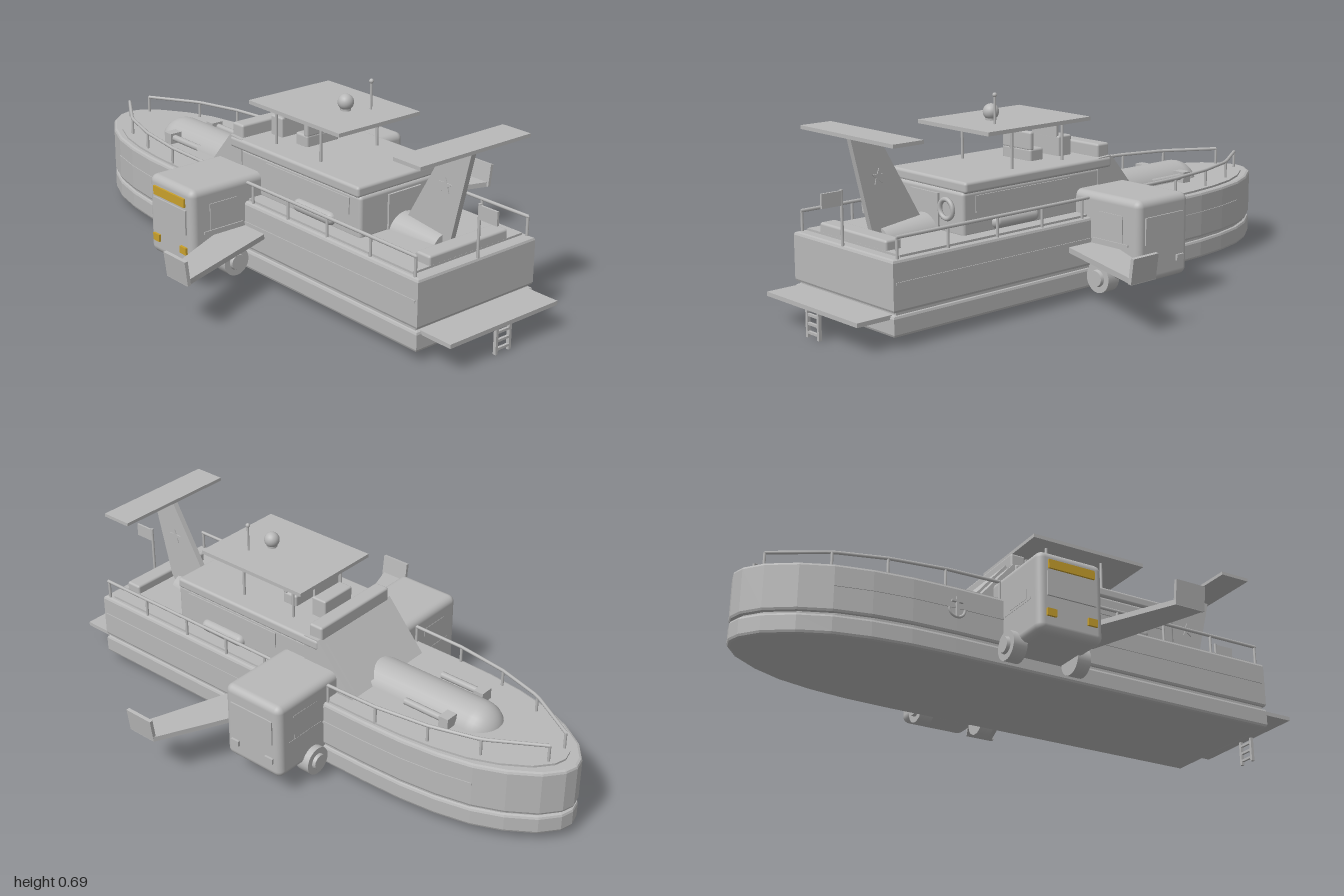
import * as THREE from 'three';
import { RoundedBoxGeometry } from 'three/addons/geometries/RoundedBoxGeometry.js';

const grey = new THREE.MeshStandardMaterial({ color: 0xb8b8b8 });
grey.name = 'grey';
const yellow = new THREE.MeshStandardMaterial({ color: 0xc8a02c });
yellow.name = 'yellow';

// Starboard half of the hull outline as [x, z], stern to bow
const HALF = [[0.255, 0.88], [0.255, -0.35], [0.25, -0.5], [0.235, -0.63], [0.208, -0.75],
  [0.165, -0.85], [0.105, -0.94], [0.045, -0.988]];
const mirrored = (half) => [...half, ...half.map(([x, z]) => [-x, z]).reverse()];

// Horizontal slab from [x, z] points
function slab(points, y0, y1, bevel = 0) {
  const shape = new THREE.Shape(points.map(([x, z]) => new THREE.Vector2(x, -z)));
  const geo = new THREE.ExtrudeGeometry(shape, {
    depth: y1 - y0 - 2 * bevel, bevelEnabled: bevel > 0, bevelSize: bevel,
    bevelThickness: bevel, bevelOffset: -bevel, bevelSegments: 2 });
  return geo.rotateX(-Math.PI / 2).translate(0, y0 + bevel, 0);
}

// Upright slab across x from [z, y] points
function profile(points, x0, x1) {
  const shape = new THREE.Shape(points.map(([z, y]) => new THREE.Vector2(-z, y)));
  return new THREE.ExtrudeGeometry(shape, { depth: x1 - x0, bevelEnabled: false })
    .rotateY(Math.PI / 2).translate(x0, 0, 0);
}

// Box given by its limits
function box(x0, x1, y0, y1, z0, z1, round = 0) {
  const s = [x1 - x0, y1 - y0, z1 - z0];
  const geo = round ? new RoundedBoxGeometry(...s, 3, round) : new THREE.BoxGeometry(...s);
  return geo.translate((x0 + x1) / 2, (y0 + y1) / 2, (z0 + z1) / 2);
}

const post = (x, y0, y1, z, r = 0.005) =>
  new THREE.CylinderGeometry(r, r, y1 - y0, 8).translate(x, (y0 + y1) / 2, z);

function rod(points, r) {
  const path = new THREE.CurvePath();
  const v = points.map((p) => new THREE.Vector3(...p));
  for (let i = 1; i < v.length; i++) path.add(new THREE.LineCurve3(v[i - 1], v[i]));
  return new THREE.TubeGeometry(path, (v.length - 1) * 6, r, 8);
}

export function createModel() {
  const model = new THREE.Group();
  const add = (name, geo, mat = grey) => {
    const mesh = new THREE.Mesh(geo, mat);
    mesh.name = name;
    model.add(mesh);
    return mesh;
  };
  const outline = mirrored([...HALF, [0, -1]].slice(0, -1));
  outline.splice(HALF.length, 0, [0, -1]);
  const scaled = (sx, sz) => outline.map(([x, z]) => [x * sx, z * sz]);

  // Hull in two tiers, with a groove between and a deck on top
  add('lowerHull', slab(outline, 0.033, 0.102, 0.01));
  add('hullGroove', slab(scaled(0.97, 0.985), 0.095, 0.115));
  add('upperHull', slab(outline, 0.108, 0.272, 0.01));
  add('deck', slab(scaled(0.93, 0.955), 0.265, 0.279));
  const stripe = HALF.slice(0, 5).map(([x, z]) => [x + 0.003, Math.min(z, 0.87)]);
  add('hullStripe', slab(mirrored(stripe), 0.195, 0.203));

  // Swim platform and ladder
  add('swimPlatform', box(-0.235, 0.235, 0.088, 0.102, 0.86, 1));
  for (const x of [-0.029, 0.029]) add('ladderSide', box(x - 0.005, x + 0.005, 0, 0.095, 0.985, 0.996));
  for (const y of [0.012, 0.04, 0.068]) add('ladderRung', box(-0.029, 0.029, y, y + 0.008, 0.986, 0.995));

  // Cabin with raked front, roof, aft door and lifebuoy
  add('cabin', box(-0.185, 0.185, 0.27, 0.415, -0.08, 0.55, 0.012));
  add('cabinRoof', box(-0.192, 0.192, 0.41, 0.447, -0.1, 0.545, 0.01));
  add('rakedFront', profile([[-0.255, 0.27], [-0.1, 0.45], [-0.04, 0.447], [-0.04, 0.27]], -0.188, 0.188));
  add('windscreen', profile([[-0.238, 0.297], [-0.118, 0.437], [-0.124, 0.443], [-0.244, 0.303]], -0.17, 0.17));
  add('aftDoor', box(-0.07, 0.07, 0.28, 0.398, 0.545, 0.557));
  add('lifebuoy', new THREE.TorusGeometry(0.031, 0.008, 8, 24).translate(0.115, 0.355, 0.56));

  // Flybridge: coaming, console, seat and canopy
  add('coaming', box(-0.175, 0.175, 0.44, 0.492, -0.105, -0.05, 0.008));
  add('console', box(-0.07, 0.07, 0.44, 0.515, -0.03, 0.03, 0.006));
  add('consoleScreen', box(-0.06, 0.06, 0.51, 0.553, 0.022, 0.031));
  add('helmSeat', box(-0.07, 0.07, 0.44, 0.487, 0.1, 0.16, 0.008));
  add('helmSeatBack', box(-0.07, 0.07, 0.48, 0.545, 0.14, 0.16, 0.008));
  add('canopy', box(-0.175, 0.175, 0.577, 0.59, -0.015, 0.435));
  for (const x of [-0.123, 0.123]) for (const z of [0.065, 0.29]) add('canopyPost', post(x, 0.44, 0.58, z));
  add('radarBase', post(0, 0.588, 0.612, 0.27, 0.018));
  add('radarDome', new THREE.SphereGeometry(0.027, 20, 14).translate(0, 0.618, 0.27));
  add('antenna', post(0.07, 0.588, 0.685, 0.315, 0.004));
  add('antennaTip', new THREE.SphereGeometry(0.008, 10, 8).translate(0.07, 0.685, 0.315));

  // Crosswise van body passing through the hull
  add('vanBody', box(-0.472, 0.47, 0.08, 0.357, -0.18, 0.06, 0.025));
  add('vanWindscreen', box(-0.478, -0.468, 0.2, 0.285, -0.15, 0.03));
  add('vanRoofSign', box(-0.479, -0.468, 0.295, 0.325, -0.145, 0.025), yellow);
  add('vanRearWindow', box(0.466, 0.475, 0.21, 0.3, -0.15, 0.03));
  for (const z of [-0.135, 0.015]) {
    add('headlight', box(-0.48, -0.468, 0.13, 0.155, z - 0.017, z + 0.017), yellow);
    add('taillight', box(0.466, 0.478, 0.135, 0.155, z - 0.017, z + 0.017));
  }
  for (const side of [-1, 1]) {
    for (const [z, out] of [[0.058, 1], [-0.178, -1]]) {
      const wx = side * 0.31;
      const win = side * 0.345;
      add('vanWindow', box(win - 0.055, win + 0.055, 0.21, 0.3, z - 0.003, z + 0.005));
      add('vanTrim', box(win - 0.08, win + 0.08, 0.2, 0.208, z - 0.003, z + 0.006));
      add('wheel', new THREE.CylinderGeometry(0.05, 0.05, 0.05, 24).rotateX(Math.PI / 2).translate(wx, 0.08, z));
      add('wheelHub', new THREE.CylinderGeometry(0.026, 0.03, 0.014, 20).rotateX(out * Math.PI / 2)
        .translate(wx, 0.08, z + out * 0.029));
    }
  }

  // Aircraft fuselage: round nose forward, tail cone aft
  add('fuselageNose', new THREE.CapsuleGeometry(0.087, 0.42, 10, 28).rotateX(Math.PI / 2).translate(0, 0.251, -0.41));
  add('tailCone', new THREE.CylinderGeometry(0.05, 0.078, 0.23, 24).rotateX(Math.PI / 2).translate(0, 0.255, 0.62));

  // Tail fin with star plates and tailplane
  add('tailFin', profile([[0.59, 0.27], [0.58, 0.32], [0.745, 0.607], [0.845, 0.607], [0.77, 0.3], [0.75, 0.27]], -0.01, 0.01));
  add('tailplane', box(-0.235, 0.235, 0.6, 0.612, 0.74, 0.855));
  const star = Array.from({ length: 10 }, (_, i) => {
    const r = i % 2 ? 0.012 : 0.028, a = i * Math.PI / 5;
    return [0.74 + r * Math.sin(a), 0.468 + r * Math.cos(a)];
  });
  add('finStar', profile(star, -0.013, 0.013));

  for (const s of [-1, 1]) {
    // Swept wing and upturned tip
    const wing = [[0.22, -0.02], [0.67, 0.195], [0.67, 0.3], [0.22, 0.15]].map(([x, z]) => [s * x, z]);
    add('wing', slab(wing, 0.17, 0.188));
    const tip = add('wingTip', box(-0.006, 0.006, 0, 0.083, 0.195, 0.305));
    tip.position.set(s * 0.664, 0.172, 0);
    tip.rotation.z = -s * 0.13;

    // Grab bars beside the nose
    add('noseBar', rod([[s * 0.1, 0.3, -0.56], [s * 0.1, 0.3, -0.4]], 0.012));
    add('noseBarBlock', box(s * 0.095 - 0.024, s * 0.095 + 0.024, 0.277, 0.318, -0.585, -0.548));

    // Raft canister and side windows on the cabin
    add('raftCanister', new THREE.CapsuleGeometry(0.022, 0.15, 6, 16).rotateX(Math.PI / 2).translate(s * 0.185, 0.303, 0.335));
    add('cabinWindow', box(s * 0.186 - 0.003, s * 0.186 + 0.003, 0.345, 0.4, 0.09, 0.5));

    // Side rails along the stern and around the bow
    const rx = s * 0.243;
    add('sternRail', rod([[rx, 0.337, 0.86], [rx, 0.337, 0.06]], 0.006));
    for (const z of [0.855, 0.66, 0.46, 0.27, 0.09]) add('sternRailPost', post(rx, 0.265, 0.337, z));
    const bow = [[0.237, -0.185], [0.232, -0.38], [0.205, -0.57], [0.155, -0.74], [0.045, -0.92]];
    add('bowRail', rod(bow.map(([x, z]) => [s * x, 0.337, z]), 0.006));
    bow.forEach(([x, z]) => add('bowRailPost', post(s * x, 0.265, 0.337, z)));
  }

  // Transom bench and flag
  add('transomBench', box(-0.17, 0.17, 0.27, 0.31, 0.78, 0.84, 0.008));
  add('flagPole', post(0, 0.27, 0.447, 0.875, 0.005));
  add('flag', box(-0.004, 0.004, 0.397, 0.443, 0.875, 0.95));

  // Anchor hung on one side of the hull
  add('anchorShank', box(-0.264, -0.252, 0.165, 0.235, -0.354, -0.346));
  add('anchorStock', box(-0.264, -0.252, 0.215, 0.222, -0.37, -0.33));
  add('anchorArms', new THREE.TorusGeometry(0.028, 0.005, 6, 14, Math.PI).rotateZ(Math.PI).rotateY(Math.PI / 2)
    .translate(-0.258, 0.193, -0.35));
  return model;
}
